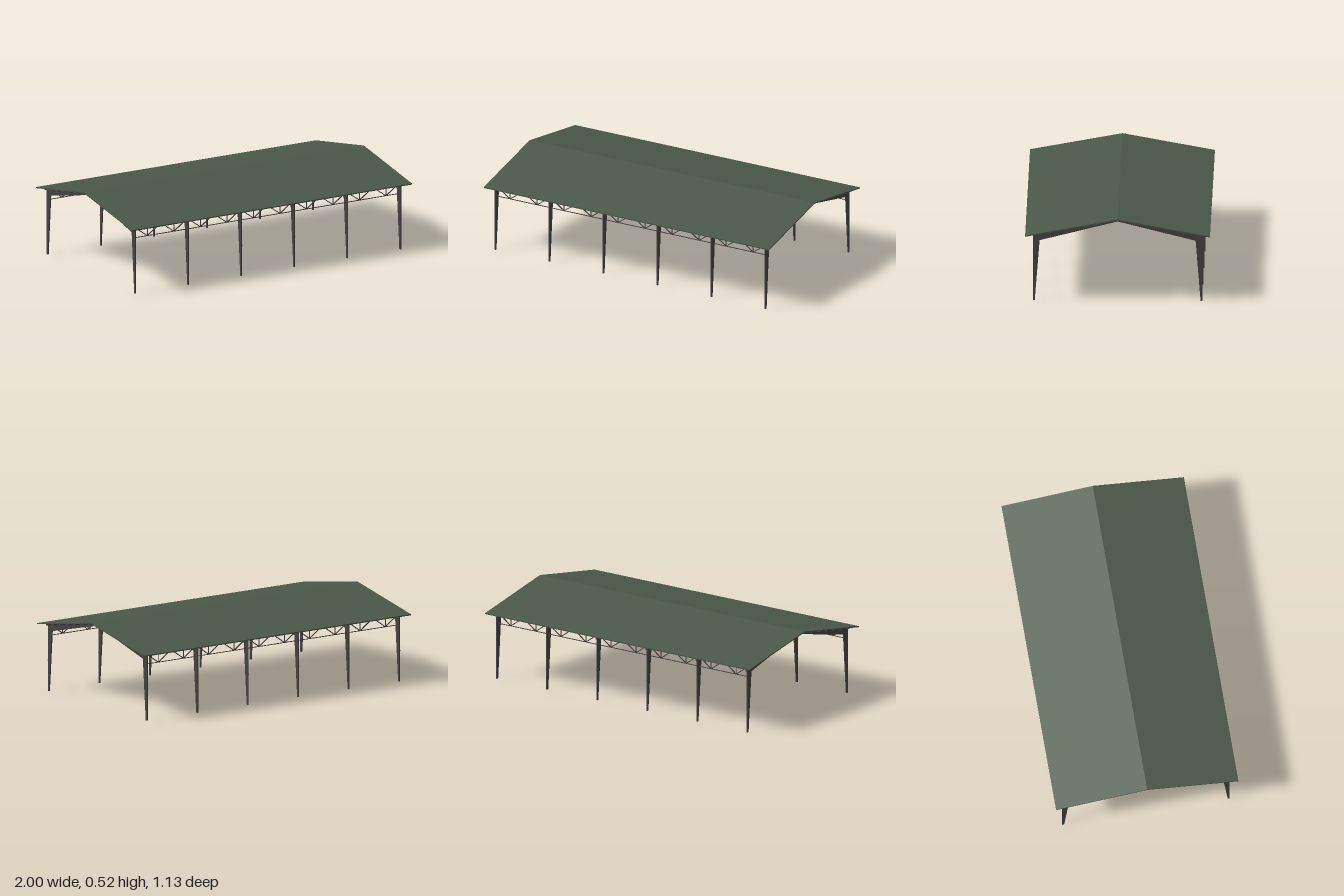
import * as THREE from 'three';

export function createModel() {
  const model = new THREE.Group();
  model.name = 'openShed';
  const roofGreen = new THREE.MeshStandardMaterial({ color: 0x4b5848 });
  roofGreen.name = 'roofGreen';
  const steel = new THREE.MeshStandardMaterial({ color: 0x474141 });
  steel.name = 'steel';

  const add = (parent, name, geometry, material) => {
    const mesh = new THREE.Mesh(geometry, material);
    mesh.name = name;
    parent.add(mesh);
    return mesh;
  };

  // Extrude a (z, y) outline along x, centred on x
  const profile = (points, width) => {
    const shape = new THREE.Shape(points.map(([z, y]) => new THREE.Vector2(z, y)));
    const g = new THREE.ExtrudeGeometry(shape, { depth: width, bevelEnabled: false });
    g.translate(0, 0, -width / 2);
    g.rotateY(-Math.PI / 2);
    return g;
  };

  // Square bar between two points in a plane of constant z
  const bar = (parent, name, x1, y1, x2, y2, z, t) => {
    const g = new THREE.BoxGeometry(Math.hypot(x2 - x1, y2 - y1), t, t);
    g.rotateZ(Math.atan2(y2 - y1, x2 - x1));
    g.translate((x1 + x2) / 2, (y1 + y2) / 2, z);
    return add(parent, name, g, steel);
  };

  // Pitched roof sheet
  const roofTop = z => 0.525 - Math.abs(z) * 0.184;
  const eave = 0.564;
  add(model, 'roof', profile([
    [-eave, roofTop(eave)], [-eave, roofTop(eave) - 0.007], [0, 0.518],
    [eave, roofTop(eave) - 0.007], [eave, roofTop(eave)], [0, 0.525],
  ], 2), roofGreen);

  // Portal frames: tapered columns joined by rafters
  const spacing = 0.379;
  const frameXs = Array.from({ length: 6 }, (_, i) => (i - 2.5) * spacing);
  const frameGeometry = profile([
    [0.518, 0], [0.518, 0.422], [0, 0.5175], [-0.518, 0.422], [-0.518, 0],
    [-0.506, 0], [-0.476, 0.38], [0, 0.5], [0.476, 0.38], [0.506, 0],
  ], 0.007);
  for (const x of frameXs) {
    const frame = new THREE.Group();
    frame.name = 'portalFrame';
    frame.position.x = x;
    add(frame, 'frameWeb', frameGeometry, steel);
    for (const s of [-1, 1]) {
      // Column splice and rafter splice plates
      add(frame, 'columnSplice', new THREE.BoxGeometry(0.01, 0.004, 0.026), steel)
        .position.set(0, 0.192, s * 0.505);
      add(frame, 'rafterSplice', new THREE.BoxGeometry(0.01, 0.026, 0.004), steel)
        .position.set(0, 0.457, s * 0.245);
    }
    model.add(frame);
  }

  // Zigzag trusses between the columns on both long sides
  for (const z of [-0.5, 0.5]) {
    const truss = new THREE.Group();
    truss.name = 'eaveTruss';
    const first = frameXs[0], last = frameXs[5];
    bar(truss, 'bottomChord', first, 0.35, last, 0.35, z, 0.004);
    bar(truss, 'topChord', first, 0.417, last, 0.417, z, 0.005);
    for (let i = 0; i < 5; i++) {
      for (let j = 0; j < 4; j++) {
        const x1 = frameXs[i] + j * spacing / 4;
        const x2 = x1 + spacing / 4;
        const down = j % 2 === 0;
        bar(truss, 'diagonal', x1, down ? 0.417 : 0.35, x2, down ? 0.35 : 0.417, z, 0.005);
        if (down) bar(truss, 'post', x2, 0.35, x2, 0.417, z, 0.004);
      }
    }
    model.add(truss);
  }

  // Purlins under the roof sheet
  for (const s of [-1, 1]) {
    for (let i = 0; i < 7; i++) {
      const z = s * (0.03 + i * 0.076);
      const purlin = add(model, 'purlin', new THREE.BoxGeometry(1.97, 0.01, 0.005), steel);
      purlin.position.set(0, roofTop(z) - 0.0125, z);
      purlin.rotation.x = s * Math.atan(0.184);
    }
  }
  return model;
}
